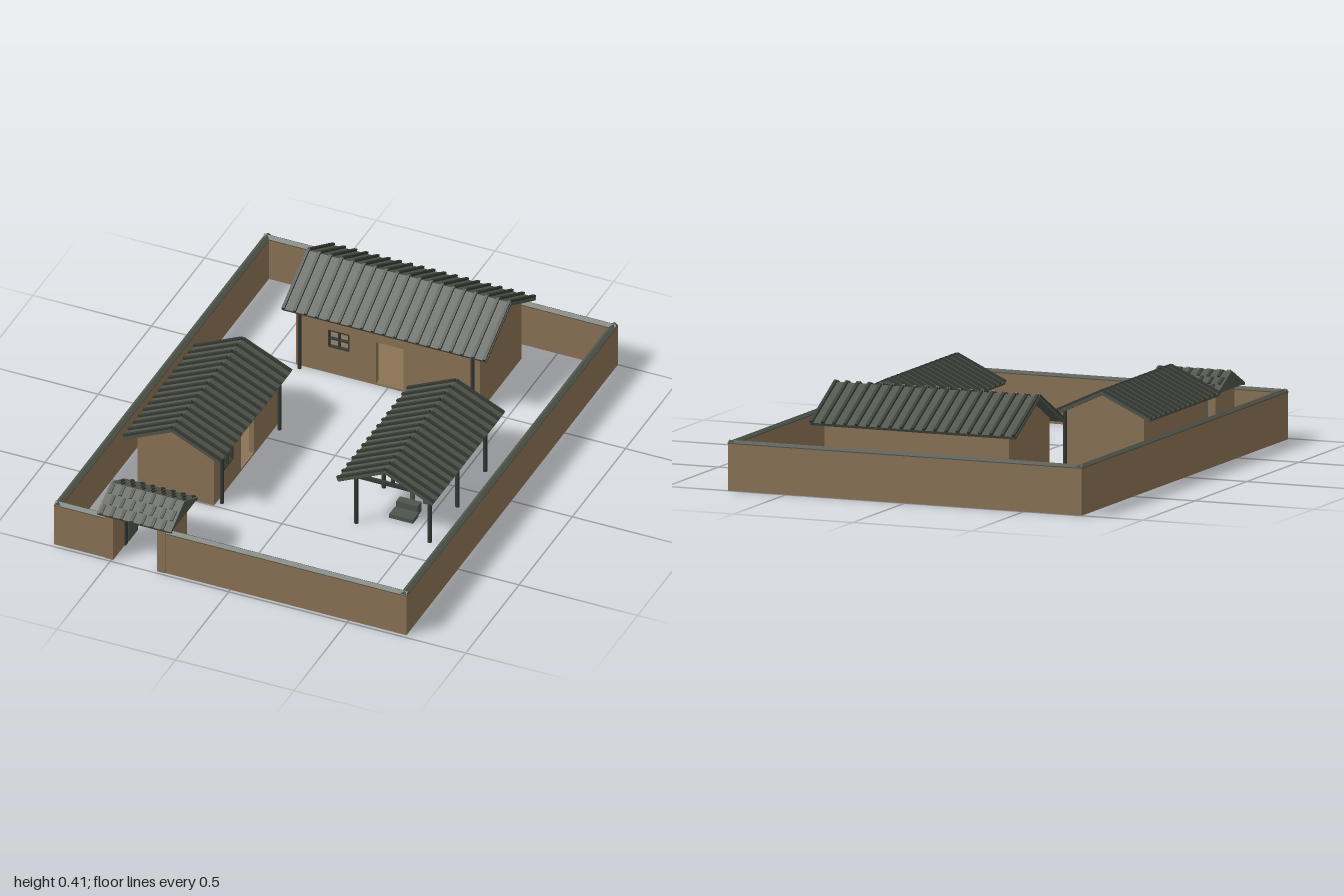
import * as THREE from 'three';

const mat = (name, color, side = THREE.FrontSide) => {
  const m = new THREE.MeshStandardMaterial({ color, side });
  m.name = name;
  return m;
};

export function createModel() {
  const root = new THREE.Group();
  root.name = 'courtyardHomestead';
  const earth = mat('earthWall', 0x8b7355);
  const tile = mat('roofTile', 0x50554a);
  const rib = mat('darkTile', 0x363a34);
  const timber = mat('darkTimber', 0x363a36);
  const stone = mat('stone', 0x4e544e);
  const wood = mat('paleWood', 0x8b6b45);

  const group = (parent, name, x = 0, y = 0, z = 0) => {
    const g = new THREE.Group();
    g.name = name;
    g.position.set(x, y, z);
    parent.add(g);
    return g;
  };
  const add = (parent, name, geo, m, x = 0, y = 0, z = 0) => {
    const mesh = new THREE.Mesh(geo, m);
    mesh.name = name;
    mesh.position.set(x, y, z);
    parent.add(mesh);
    return mesh;
  };
  // Box given by its minimum and maximum on each axis
  const box = (parent, name, m, x0, x1, y0, y1, z0, z1) =>
    add(parent, name, new THREE.BoxGeometry(x1 - x0, y1 - y0, z1 - z0), m,
      (x0 + x1) / 2, (y0 + y1) / 2, (z0 + z1) / 2);
  const cyl = (parent, name, m, r0, r1, h, x, y, z, n = 16) =>
    add(parent, name, new THREE.CylinderGeometry(r0, r1, h, n), m, x, y + h / 2, z);
  // Prism along x with a cross-section of [z, y] points, symmetric in z
  const prismX = (parent, name, m, pts, length, x, y = 0, z = 0) => {
    const shape = new THREE.Shape(pts.map(p => new THREE.Vector2(p[0], p[1])));
    const geo = new THREE.ExtrudeGeometry(shape, { depth: length, bevelEnabled: false });
    geo.translate(0, 0, -length / 2).rotateY(Math.PI / 2);
    return add(parent, name, geo, m, x, y, z);
  };

  // Two tilted slabs meeting at a ridge along x; decorate fills each slope
  function gableRoof(parent, halfLen, half, eave, ridge, decorate) {
    const roof = group(parent, 'roof');
    const angle = Math.atan2(ridge - eave, half), len = Math.hypot(half, ridge - eave);
    for (const turn of [0, Math.PI]) {
      const side = group(roof, 'roofSide', 0, ridge);
      side.rotation.y = turn;
      const slope = group(side, 'slope');
      slope.rotation.x = angle;
      box(slope, 'roofSlab', tile, -halfLen, halfLen, -0.012, 0, 0, len);
      decorate(slope, len);
    }
    return roof;
  }
  const ribs = (halfLen, count) => (slope, len) => {
    for (let i = 0; i < count; i++) {
      const x = -halfLen + 0.008 + (i * (2 * halfLen - 0.016)) / (count - 1);
      box(slope, 'tileRib', rib, x - 0.006, x + 0.006, 0, 0.009, 0, len);
    }
  };

  // House: hollow walls with a door and window in the front, ribbed roof
  function house(o) {
    const h = group(root, o.name, o.x, 0, o.z);
    h.rotation.y = o.turn;
    const { bx, bz, t = 0.02 } = o;
    const under = z => o.ridge - ((o.ridge - o.eave) * z) / o.half - 0.014;
    const top = under(bz);
    box(h, 'floor', earth, -bx, bx, 0, 0.008, -bz, bz);
    box(h, 'backWall', earth, -bx, bx, 0, top, -bz, -bz + t);
    const face = new THREE.Shape([[-bx, 0], [o.door[0], 0], [o.door[0], o.door[2]], [o.door[1], o.door[2]],
      [o.door[1], 0], [bx, 0], [bx, top], [-bx, top]].map(p => new THREE.Vector2(...p)));
    const [w0, w1, v0, v1] = o.window;
    face.holes.push(new THREE.Path([[w0, v0], [w0, v1], [w1, v1], [w1, v0]].map(p => new THREE.Vector2(...p))));
    add(h, 'frontWall', new THREE.ExtrudeGeometry(face, { depth: t, bevelEnabled: false }), earth, 0, 0, bz - t);
    for (const s of [-1, 1]) {
      prismX(h, 'gableWall', earth, [[-bz, 0], [bz, 0], [bz, top], [0, under(0)], [-bz, top]], t, s * (bx - t / 2));
      const pz = o.postZ;
      cyl(h, 'porchPost', timber, 0.008, 0.008, under(pz), s * o.postX, 0, pz, 10);
    }
    // Window frame and mullions
    const wc = (w0 + w1) / 2, vc = (v0 + v1) / 2, f = 0.005;
    for (const x of [w0, wc, w1]) box(h, 'windowBar', timber, x - f / 2, x + f / 2, v0, v1, bz - 0.012, bz + 0.002);
    for (const y of [v0, vc, v1]) box(h, 'windowRail', timber, w0, w1, y - f / 2, y + f / 2, bz - 0.012, bz + 0.002);
    gableRoof(h, o.roofX, o.half, o.eave, o.ridge, ribs(o.roofX, o.ribs));
  }
  house({ name: 'mainHouse', x: 0, z: -0.69, turn: 0, bx: 0.388, bz: 0.194, half: 0.235, eave: 0.275, ridge: 0.4,
    roofX: 0.432, ribs: 19, postX: 0.365, postZ: 0.213, door: [-0.05, 0.065, 0.2], window: [-0.25, -0.165, 0.125, 0.2] });
  house({ name: 'sideHouse', x: -0.45, z: 0.198, turn: Math.PI / 2, bx: 0.298, bz: 0.162, half: 0.205, eave: 0.24, ridge: 0.335,
    roofX: 0.336, ribs: 15, postX: 0.27, postZ: 0.182, door: [-0.045, 0.075, 0.18], window: [-0.21, -0.125, 0.11, 0.18] });

  // Open shed: posts, tie beams, king posts and ribbed roof
  const shed = group(root, 'openShed', 0.413, 0, 0.117);
  shed.rotation.y = Math.PI / 2;
  gableRoof(shed, 0.336, 0.203, 0.24, 0.335, ribs(0.336, 15));
  for (const x of [-0.26, 0, 0.26]) {
    for (const s of [-1, 1]) cyl(shed, 'shedPost', timber, 0.009, 0.009, 0.25, x, 0, s * 0.155, 10);
    box(shed, 'tieBeam', timber, x - 0.007, x + 0.007, 0.215, 0.229, -0.155, 0.155);
    box(shed, 'kingPost', timber, x - 0.006, x + 0.006, 0.229, 0.32, -0.006, 0.006);
  }
  for (const s of [-1, 1]) box(shed, 'eaveBeam', timber, -0.27, 0.27, 0.236, 0.248, s * 0.155 - 0.006, s * 0.155 + 0.006);

  // Things kept under the shed
  const mill = group(root, 'millstone', 0.42, 0, 0.12);
  for (const a of [0, 1, 2, 3]) {
    box(mill, 'millLeg', stone, (a % 2 ? 0.02 : -0.035), (a % 2 ? 0.035 : -0.02), 0, 0.045, (a > 1 ? 0.02 : -0.035), (a > 1 ? 0.035 : -0.02));
  }
  cyl(mill, 'millBase', stone, 0.055, 0.05, 0.014, 0, 0.045, 0, 20);
  cyl(mill, 'millWheel', stone, 0.035, 0.035, 0.025, 0, 0.059, 0, 20);
  box(mill, 'millHandle', timber, 0, 0.075, 0.075, 0.083, -0.004, 0.004);
  const steps = group(root, 'stoneSteps', 0.41, 0, 0.25);
  box(steps, 'lowerStep', stone, -0.05, 0.05, 0, 0.018, -0.01, 0.045);
  box(steps, 'upperStep', stone, -0.045, 0.045, 0, 0.045, -0.045, -0.01);
  const tub = group(root, 'woodenTub', 0.44, 0, 0.015);
  const tubProfile = [[0, 0], [0.032, 0], [0.038, 0.055], [0.033, 0.055], [0.028, 0.01], [0, 0.01]];
  add(tub, 'tubBody', new THREE.LatheGeometry(tubProfile.map(p => new THREE.Vector2(...p)), 18), wood);
  for (const [y, r] of [[0.014, 0.034], [0.042, 0.037]]) {
    add(tub, 'tubHoop', new THREE.TorusGeometry(r, 0.002, 6, 18).rotateX(Math.PI / 2), timber, 0, y, 0);
  }

  // Yard wall with a ridged cap; the front run leaves room for the gate
  const yard = group(root, 'yardWall');
  const T = 0.026;
  const run = (length, x, z, turn) => {
    const g = group(yard, 'wallRun', x, 0, z);
    g.rotation.y = turn;
    box(g, 'wall', earth, -length / 2, length / 2, 0, 0.183, -T / 2, T / 2);
    prismX(g, 'wallCap', tile, [[-0.015, 0.183], [0.015, 0.183], [0.015, 0.187], [0, 0.197], [-0.015, 0.187]], length, 0);
  };
  run(1.486, 0, -0.986, 0);
  for (const s of [-1, 1]) run(1.984, s * 0.73, -0.007, Math.PI / 2);
  run(0.216, -0.635, 0.972, 0);
  run(1.018, 0.234, 0.972, 0);

  // Gatehouse: side walls, lintel, open door leaves and solid gabled roof
  const gate = group(root, 'gatehouse', -0.401, 0, 0.87);
  for (const s of [-1, 1]) {
    const inner = s * 0.092, outer = s * 0.127;
    box(gate, 'gateWall', earth, Math.min(inner, outer), Math.max(inner, outer), 0, 0.206, -0.09, 0.118);
    box(gate, 'doorJamb', timber, s * 0.091 - 0.004, s * 0.091 + 0.004, 0, 0.172, -0.01, 0.012);
    box(gate, 'doorLeaf', stone, s * 0.088 - 0.004, s * 0.088 + 0.004, 0.006, 0.168, -0.095, -0.01);
  }
  box(gate, 'lintel', stone, -0.092, 0.092, 0.17, 0.206, -0.012, 0.014);
  prismX(gate, 'gableFill', tile, [[-0.122, 0.201], [0.122, 0.201], [0, 0.262]], 0.306, 0);
  gableRoof(gate, 0.156, 0.128, 0.208, 0.272, (slope, len) => {
    // Staggered dark tiles
    for (let r = 0; r < 3; r++) {
      for (let i = 0; i < 7; i++) {
        const x = -0.14 + i * 0.043 + (r % 2) * 0.0215, z = (r * len) / 3;
        box(slope, 'darkTile', rib, x - 0.006, x + 0.006, 0, 0.005, z + 0.004, z + len / 3);
      }
    }
  });
  return root;
}
